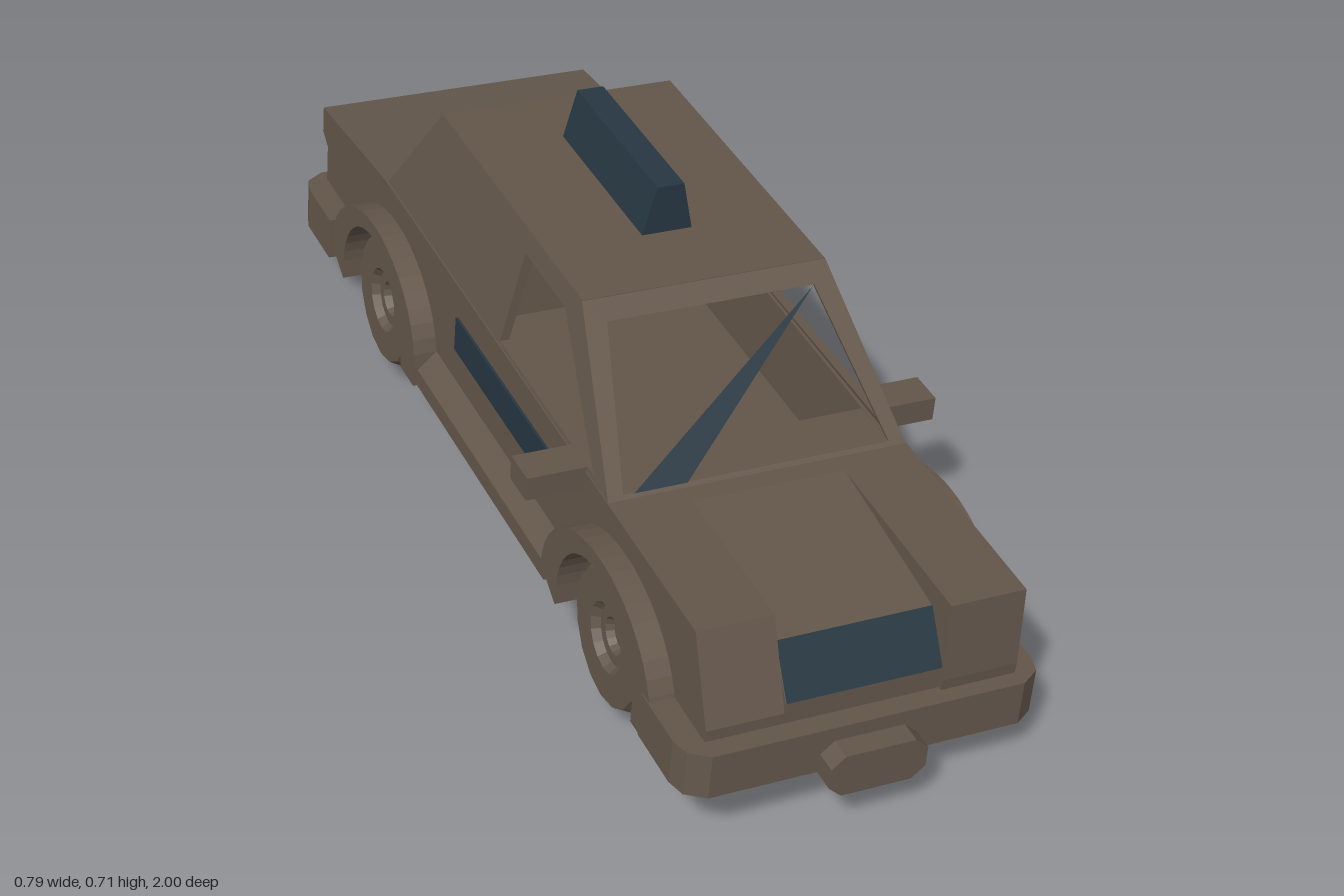
import * as THREE from 'three';

const body = new THREE.MeshStandardMaterial({ color: 0x64574b, side: THREE.DoubleSide, flatShading: true });
body.name = 'dull brown paint';
const glass = new THREE.MeshStandardMaterial({ color: 0x273742, side: THREE.DoubleSide, flatShading: true });
glass.name = 'dark blue glass';

export function createModel() {
  const car = new THREE.Group();
  car.name = 'wreckedTaxi';

  const add = (name, geo, mat = body) => {
    const m = new THREE.Mesh(geo, mat);
    m.name = name;
    car.add(m);
    return m;
  };
  const shape = pts => new THREE.Shape(pts.map(p => new THREE.Vector2(...p)));
  const path = pts => new THREE.Path(pts.map(p => new THREE.Vector2(...p)));
  const extrude = (s, depth) => new THREE.ExtrudeGeometry(s, { depth, bevelEnabled: false, curveSegments: 10 });
  // side profile drawn in (z, y), pushed out between two x positions
  const across = (s, x0, x1) => extrude(s, x1 - x0).rotateY(-Math.PI / 2).translate(x1, 0, 0);
  const bend = (geo, rule) => {
    const p = geo.attributes.position;
    for (let i = 0; i < p.count; i++) {
      const v = new THREE.Vector3().fromBufferAttribute(p, i);
      rule(v);
      p.setXYZ(i, v.x, v.y, v.z);
    }
    geo.computeVertexNormals();
    return geo;
  };
  const facet = pts => {
    const g = new THREE.BufferGeometry();
    g.setAttribute('position', new THREE.Float32BufferAttribute(pts.flat(), 3));
    g.setIndex(pts.length === 4 ? [0, 1, 2, 0, 2, 3] : [0, 1, 2]);
    g.computeVertexNormals();
    return g;
  };

  const wheelZ = [0.575, -0.53];

  // Lower body in slices: floor core, wheel wells, outer skin
  const slice = (front, arches, dip) => {
    const s = new THREE.Shape();
    s.moveTo(-0.93, 0.125);
    if (arches) {
      for (const z of [...wheelZ].reverse()) {
        s.lineTo(z - 0.165, 0.125);
        s.lineTo(z - 0.165, 0.165);
        s.absarc(z, 0.165, 0.165, Math.PI, 0, true);
        s.lineTo(z + 0.165, 0.125);
      }
    }
    s.lineTo(0.92, 0.125);
    front.forEach(p => s.lineTo(...p));
    s.lineTo(0.5, 0.39);
    if (dip) [[0.37, 0.39], [0.36, 0.22], [-0.33, 0.22], [-0.34, 0.39]].forEach(p => s.lineTo(...p));
    [[-0.6, 0.4], [-0.96, 0.365], [-0.96, 0.31], [-0.93, 0.29]].forEach(p => s.lineTo(...p));
    return s;
  };
  const sunk = [[0.92, 0.255], [0.86, 0.345], [0.53, 0.39]];
  const crushed = [[0.92, 0.235], [0.85, 0.388]];
  const straight = [[0.93, 0.235], [0.92, 0.385]];
  add('floorAndSunkenHood', across(slice(sunk, false, true), -0.145, 0.145));
  for (const [side, front] of [['left', straight], ['right', crushed]]) {
    const at = (a, b) => side === 'left' ? [a, b] : [-b, -a];
    add(side + 'WheelWells', across(slice(front, true, true), ...at(0.145, 0.26)));
    add(side + 'BodySide', across(slice(front, true, false), ...at(0.26, 0.287)));
  }
  add('grille', facet([[-0.145, 0.257, 0.923], [0.145, 0.257, 0.923], [0.145, 0.345, 0.864], [-0.145, 0.345, 0.864]]), glass);

  // Bumpers with cut corners, and plates
  for (const s of [1, -1]) {
    const end = s > 0 ? 'front' : 'rear';
    const plan = shape([[-0.335, 0.775], [0.335, 0.775], [0.335, 0.9], [0.325, 0.935], [0.29, 0.958],
      [-0.29, 0.958], [-0.325, 0.935], [-0.335, 0.9]]);
    const g = extrude(plan, 0.088).rotateX(Math.PI / 2).translate(0, 0.213, 0);
    if (s < 0) g.rotateY(Math.PI);
    add(end + 'Bumper', g);
    const plate = extrude(shape([[-0.09, -0.02], [-0.065, -0.042], [0.065, -0.042], [0.09, -0.02],
      [0.09, 0.02], [0.065, 0.042], [-0.065, 0.042], [-0.09, 0.02]]), 0.05);
    add(end + 'Plate', plate.translate(0, 0.143, s > 0 ? 0.95 : -1));
  }

  // Wheels, flared arches, sills, door strips and mirrors
  const tyre = [[0, -0.075], [0.12, -0.075], [0.145, -0.035], [0.145, 0.035], [0.125, 0.075], [0.065, 0.075],
    [0.055, 0.06], [0.035, 0.06], [0.03, 0.045], [0, 0.045]].map(p => new THREE.Vector2(...p));
  for (const s of [1, -1]) {
    const side = s > 0 ? 'left' : 'right';
    const span = (a, b) => s > 0 ? [a, b] : [-b, -a];
    wheelZ.forEach((z, i) => {
      const end = i ? 'Rear' : 'Front';
      const wheel = add(side + end + 'Wheel', new THREE.LatheGeometry(tyre, 16));
      wheel.rotation.z = -s * Math.PI / 2;
      wheel.position.set(s * 0.235, 0.17, z);
      if (s > 0 && !i) { // broken front wheel, folded under the car
        wheel.rotation.z -= 0.78;
        wheel.position.set(0.19, 0.212, z);
      }
      const arch = new THREE.Shape();
      arch.moveTo(z - 0.235, 0.125);
      arch.absellipse(z, 0.165, 0.235, 0.18, Math.PI, 0, true);
      arch.lineTo(z + 0.235, 0.125);
      arch.lineTo(z + 0.165, 0.125);
      arch.absellipse(z, 0.165, 0.165, 0.15, 0, Math.PI, false);
      arch.lineTo(z - 0.165, 0.125);
      add(side + end + 'Arch', across(arch, ...span(0.28, 0.333)));
    });
    const sill = extrude(shape([[s * 0.28, 0.125], [s * 0.325, 0.125], [s * 0.325, 0.16], [s * 0.28, 0.2]]), 0.66);
    add(side + 'Sill', sill.translate(0, 0, -0.32));
    const h = s > 0 ? 0.035 : 0.07;
    add(side + 'DoorStrip', new THREE.BoxGeometry(0.006, h, 0.44).translate(s * 0.289, 0.333 - h / 2, 0.02), glass);
    add(side + 'Mirror', new THREE.BoxGeometry(0.115, 0.046, 0.07).translate(s * 0.338, 0.377, 0.36));
  }

  // Cabin walls lean inward with height
  const rise = y => (y - 0.39) / 0.23;
  for (const s of [1, -1]) {
    const wall = shape([[0.49, 0.39], [0.22, 0.62], [-0.45, 0.62], [-0.6, 0.39]]);
    wall.holes.push(path([[0.42, 0.4], [0.17, 0.58], [-0.01, 0.58], [-0.01, 0.4]]));
    const g = across(wall, s > 0 ? 0.267 : -0.285, s > 0 ? 0.285 : -0.267);
    add(s > 0 ? 'leftCabinSide' : 'rightCabinSide', bend(g, v => { v.x -= s * 0.05 * rise(v.y); }));
  }
  const frame = (name, low, high, zLow, zHigh) => {
    const f = shape([[-0.285, 0.39], [0.285, 0.39], [0.235, 0.62], [-0.235, 0.62]]);
    f.holes.push(path([[-low[0], low[1]], [-high[0], high[1]], [high[0], high[1]], [low[0], low[1]]]));
    const z = y => zLow + (zHigh - zLow) * rise(y);
    add(name, bend(extrude(f, 0.012), v => { v.z = z(v.y) + (zLow > 0 ? v.z - 0.012 : v.z); }));
    return z;
  };
  frame('windscreenFrame', [0.255, 0.396], [0.2, 0.592], 0.49, 0.22);
  const rz = frame('rearWindowFrame', [0.225, 0.412], [0.19, 0.585], -0.6, -0.45);
  add('rearWindow', facet([[-0.225, 0.412, rz(0.412)], [-0.19, 0.585, rz(0.585)],
    [0.19, 0.585, rz(0.585)], [0.225, 0.412, rz(0.412)]]), glass);
  add('roof', new THREE.BoxGeometry(0.468, 0.02, 0.67).translate(0, 0.611, -0.115));

  // Last piece of broken windscreen
  add('glassShard', facet([[-0.235, 0.396, 0.485], [-0.135, 0.396, 0.485], [0.2, 0.588, 0.25]]), glass);

  // Roof sign, tapering upward
  add('roofSign', extrude(shape([[-0.05, 0.615], [0.05, 0.615], [0.026, 0.716], [-0.026, 0.716]]), 0.365)
    .translate(0, 0, -0.31), glass);

  // The whole car leans to its left
  car.rotation.z = -0.083;
  car.position.x = -0.03;
  const model = new THREE.Group();
  model.name = 'model';
  model.add(car);
  return model;
}
